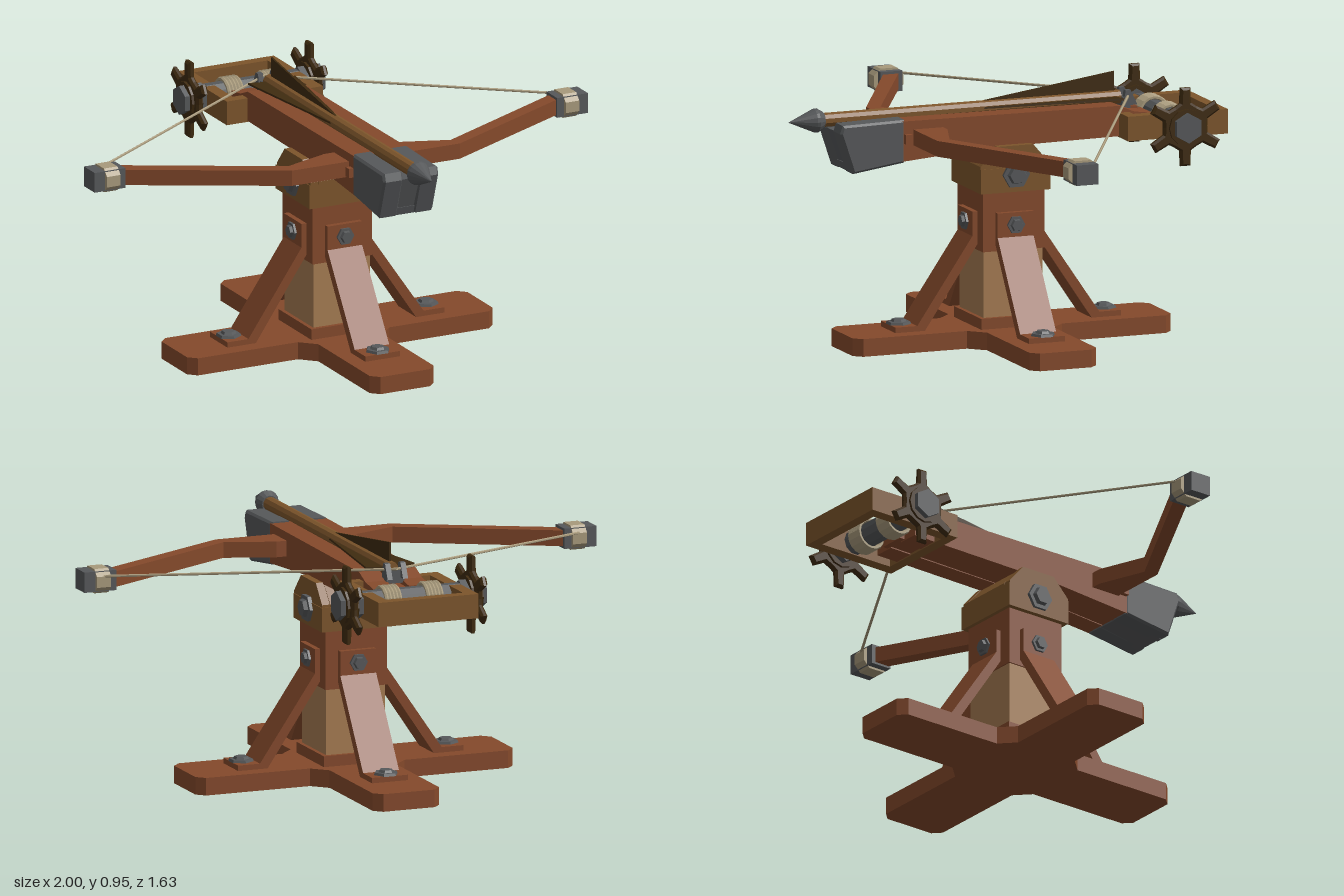
import * as THREE from 'three';

const mat = (color) => new THREE.MeshStandardMaterial({ color, flatShading: true, side: THREE.DoubleSide });
const CZ = -0.015; // centre of the stand in z

export function createModel() {
  const root = new THREE.Group();
  const wood = mat(0x84492b), ochre = mat(0x7d552b), tan = mat(0xa67c52);
  const steel = mat(0x56585a), bronze = mat(0x3f2b10), rope = mat(0xa89a7c);

  const add = (name, geo, m, parent = root) => {
    const mesh = new THREE.Mesh(geo, m);
    mesh.name = name;
    parent.add(mesh);
    return mesh;
  };
  const box = (w, h, d, x, y, z) => new THREE.BoxGeometry(w, h, d).translate(x, y, z);
  const outline = (pts) => new THREE.Shape(pts.map((p) => new THREE.Vector2(p[0], p[1])));
  // Side profile of [z, y] points, given a width centred on x
  const side = (pts, w, x = 0, bevel = 0) => new THREE.ExtrudeGeometry(outline(pts), {
    depth: w - 2 * bevel, bevelEnabled: bevel > 0, bevelSize: bevel, bevelThickness: bevel, bevelOffset: -bevel, bevelSegments: 1,
  }).translate(0, 0, bevel - w / 2).rotateY(-Math.PI / 2).translate(x, 0, 0);
  // Plan of [x, z] points, filled between two heights
  const plan = (shape, y0, y1) => new THREE.ExtrudeGeometry(shape, { depth: y1 - y0, bevelEnabled: false })
    .rotateX(Math.PI / 2).translate(0, y1, 0);
  const rod = (r0, r1, len, sides) => new THREE.CylinderGeometry(r0, r1, len, sides);
  // Hexagonal bolt with washer, lying along x
  const bolt = (r, len, x, y, z, parent, name) => {
    add(name, rod(r, r, len * 0.5, 6).rotateZ(-Math.PI / 2).translate(x + len / 4, y, z), steel, parent);
    add(name + 'Head', rod(r * 0.6, r * 0.7, len * 0.5, 6).rotateZ(-Math.PI / 2).translate(x + len * 0.75, y, z), steel, parent);
  };

  // Cross-shaped foot with clipped ends and filled inner corners
  const cross = [];
  for (let i = 0; i < 4; i++) {
    const c = Math.round(Math.cos(i * Math.PI / 2)), s = Math.round(Math.sin(i * Math.PI / 2));
    for (const [x, z] of [[0.185, -0.13], [0.59, -0.13], [0.62, -0.1], [0.62, 0.1], [0.59, 0.13], [0.185, 0.13]])
      cross.push([x * c - z * s, x * s + z * c + CZ]);
  }
  add('crossBase', plan(outline(cross), 0, 0.065), wood);

  // Post
  add('postPlinth', box(0.26, 0.04, 0.26, 0, 0.085, CZ), wood);
  add('postShaft', box(0.23, 0.27, 0.23, 0, 0.225, CZ), tan);
  add('postCollar', box(0.24, 0.225, 0.24, 0, 0.46, CZ), wood);

  // Four bent braces with bolts
  const braceProfile = [[0.12, 0.49], [0.14, 0.49], [0.14, 0.4], [0.355, 0.085], [0.44, 0.085], [0.44, 0.065],
    [0.325, 0.065], [0.12, 0.37]];
  for (let i = 0; i < 4; i++) {
    const brace = new THREE.Group();
    brace.name = 'brace' + (i + 1);
    add('strut', side(braceProfile, 0.14).rotateY(Math.PI / 2), wood, brace);
    bolt(0.034, 0.022, 0.138, 0.445, 0, brace, 'upperBolt');
    add('footBolt', rod(0.043, 0.047, 0.01, 6).translate(0.4, 0.089, 0), steel, brace);
    add('footBoltHead', rod(0.024, 0.03, 0.01, 6).translate(0.4, 0.098, 0), steel, brace);
    brace.position.z = CZ;
    brace.rotation.y = i * Math.PI / 2;
    root.add(brace);
  }

  // Swivel head
  add('swivelBlock', box(0.28, 0.09, 0.27, 0, 0.61, CZ), ochre);
  add('swivelCore', side([[0.12, 0.57], [0.12, 0.665], [0.055, 0.73], [-0.085, 0.73], [-0.145, 0.665], [-0.145, 0.57]], 0.21), ochre);
  for (const s of [-1, 1]) {
    add('swivelCheek', side([[0.12, 0.58], [0.12, 0.665], [0.055, 0.735], [-0.085, 0.735], [-0.145, 0.665], [-0.145, 0.58]],
      0.03, s * 0.122), ochre);
    const pivot = new THREE.Group();
    pivot.name = 'pivotBolt';
    bolt(0.052, 0.03, 0.137, 0.63, 0, pivot, 'pivot');
    pivot.position.z = CZ;
    if (s < 0) pivot.rotation.y = Math.PI;
    root.add(pivot);
  }

  // Stock: core, two rails that leave a groove, and a steel nose
  add('stockCore', side([[0.42, 0.705], [0.42, 0.815], [-0.58, 0.8], [-0.58, 0.74], [0.08, 0.73]], 0.1), wood);
  add('noseCore', side([[0.6, 0.68], [0.65, 0.82], [0.41, 0.82], [0.41, 0.71]], 0.1), steel);
  for (const s of [-1, 1]) {
    add('stockRail', side([[0.415, 0.702], [0.415, 0.85], [-0.43, 0.845], [-0.49, 0.82], [-0.56, 0.81], [-0.56, 0.735], [0.08, 0.728]],
      0.08, s * 0.07), wood);
    add('noseRail', side([[0.605, 0.67], [0.655, 0.82], [0.645, 0.85], [0.405, 0.855], [0.405, 0.698]], 0.08, s * 0.072, 0.008), steel);
    add('stockPeg', box(0.02, 0.035, 0.025, s * 0.118, 0.785, 0.395), wood);
  }
  add('noseKeel', side([[0.6, 0.67], [0.61, 0.7], [0.41, 0.72], [0.41, 0.7]], 0.13), steel);

  // Bow with bound tips
  const half = [[0, 0.255], [0.15, 0.255], [0.33, 0.32], [0.89, 0.02], [0.92, 0.065], [0.34, 0.372], [0, 0.372]];
  for (const s of [-1, 1]) {
    add('bowArm', plan(outline(half.map(([x, z]) => [x * s, z])), 0.76, 0.818), wood);
    const tip = new THREE.Group();
    tip.name = 'bowTip';
    add('tipBlock', box(0.125, 0.075, 0.085, s * 0.9375, 0.79, 0.055), steel, tip);
    const c = 0.025, a = 0.057, b = 0.045;
    const wrap = [[a, c - b], [a, b - c], [a - c, b], [c - a, b], [-a, b - c], [-a, c - b], [c - a, -b], [a - c, -b]];
    add('tipBinding', side(wrap.map(([z, y]) => [z + 0.055, y + 0.79]), 0.055, s * 0.93), rope, tip);
    root.add(tip);
    const string = new THREE.LineCurve3(new THREE.Vector3(s * 0.93, 0.81, 0.005), new THREE.Vector3(0, 0.865, -0.515));
    add('bowstring', new THREE.TubeGeometry(string, 1, 0.005, 6), rope);
  }

  // Loaded bolt: shaft, head and three fins
  add('boltShaft', rod(0.026, 0.026, 1.16, 10).rotateX(Math.PI / 2).translate(0, 0.856, 0.105), ochre);
  const head = [[0, 0.68], [0.03, 0.68], [0.045, 0.705], [0.043, 0.715], [0, 0.815]].map(([r, y]) => new THREE.Vector2(r, y));
  add('boltHead', new THREE.LatheGeometry(head, 16).rotateX(Math.PI / 2).translate(0, 0.856, 0), steel);
  const fin = [[0.13, 0.015], [-0.455, 0.096], [-0.455, 0]];
  for (const a of [0, 1.48, -1.48]) {
    const f = add('fin', side(fin, 0.007), bronze);
    f.rotation.z = a;
    f.position.y = 0.856;
  }

  // Trigger claw
  add('claw', box(0.07, 0.05, 0.03, 0, 0.835, -0.49), steel);
  for (const s of [-1, 1]) add('clawTooth', side([[-0.475, 0.83], [-0.485, 0.885], [-0.505, 0.885], [-0.53, 0.83]], 0.02, s * 0.03), steel);

  // Winch frame
  const frame = outline([[-0.195, -0.82], [0.195, -0.82], [0.195, -0.43], [-0.195, -0.43]]);
  frame.holes.push(new THREE.Path([[-0.15, -0.78], [-0.15, -0.47], [0.15, -0.47], [0.15, -0.78]].map((p) => new THREE.Vector2(...p))));
  add('winchFrame', plan(frame, 0.73, 0.82), ochre);

  // Winch drum, rope coils and toothed wheels
  const winch = new THREE.Group();
  winch.name = 'winch';
  winch.position.set(0, 0.778, -0.633);
  root.add(winch);
  add('drum', rod(0.046, 0.046, 0.4, 10).rotateZ(Math.PI / 2), steel, winch);
  const teeth = [];
  for (let i = 0; i < 6; i++) {
    for (const [d, r] of [[-0.5, 0.085], [-0.24, 0.09], [-0.13, 0.145], [0.13, 0.145], [0.24, 0.09]]) {
      const t = Math.PI / 2 + i * Math.PI / 3 + d;
      teeth.push([Math.cos(t) * r, Math.sin(t) * r]);
    }
  }
  for (const s of [-1, 1]) {
    add('toothedWheel', side(teeth, 0.026, s * 0.243, 0.008), bronze, winch);
    add('wheelBoss', rod(0.068, 0.068, 0.045, 12).rotateZ(Math.PI / 2).translate(s * 0.243, 0, 0), bronze, winch);
    add('hub', rod(0.055, 0.055, 0.09, 6).rotateX(0).rotateY(Math.PI / 6).rotateZ(Math.PI / 2).translate(s * 0.24, 0, 0), steel, winch);
    for (let i = 0; i < 5; i++)
      add('ropeCoil', new THREE.TorusGeometry(0.054, 0.008, 6, 16).rotateY(Math.PI / 2).translate(s * (0.055 + i * 0.013), 0, 0), rope, winch);
  }
  return root;
}
